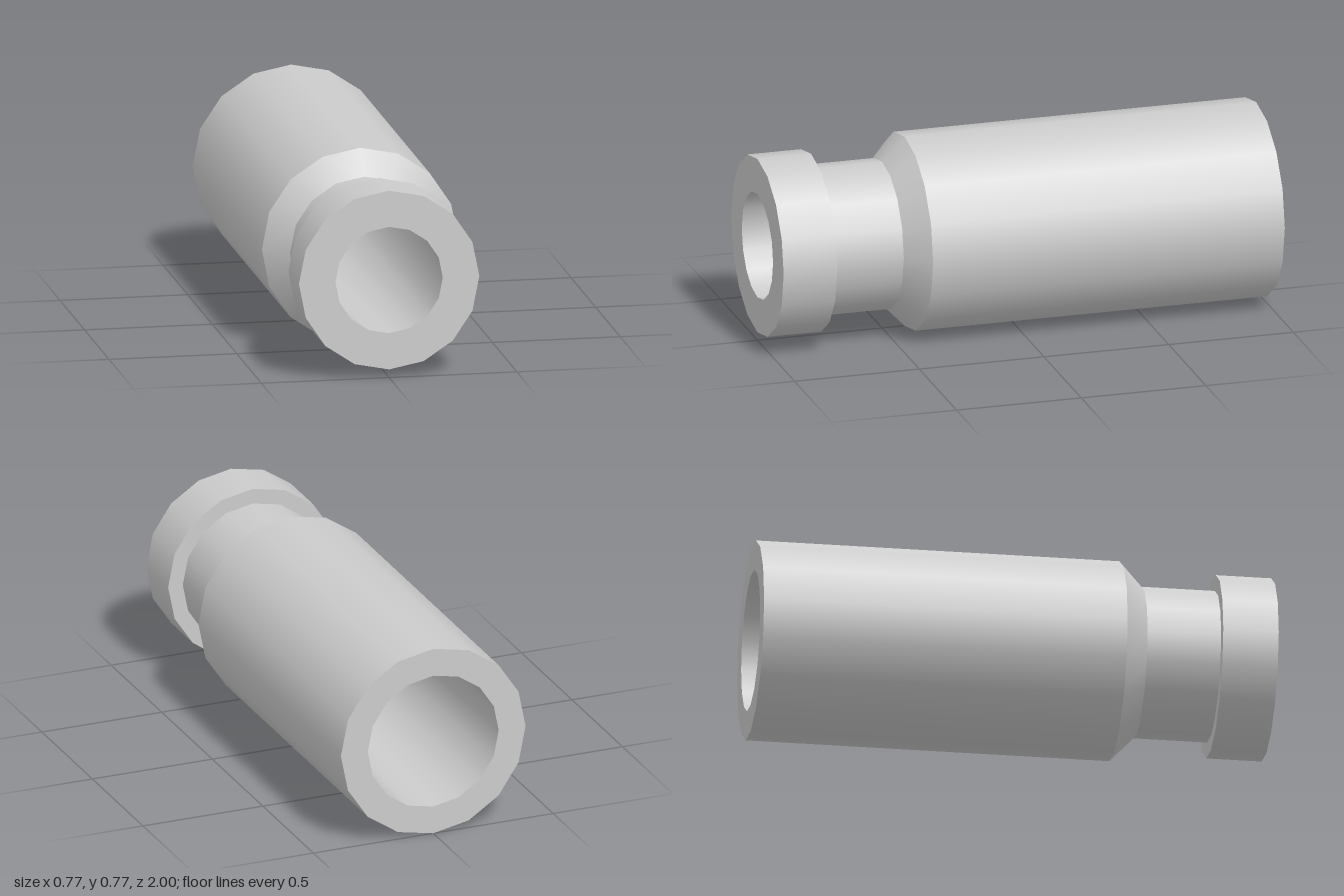
import * as THREE from 'three';

const SIDES = 16;
const AXIS_Y = 0.385;

export function createModel() {
  const group = new THREE.Group();
  group.name = 'hollowTube';
  const grey = new THREE.MeshStandardMaterial({ color: 0xcccccc });
  grey.name = 'light grey';

  // Closed profile [radius, z]: up the outside, over the front lip, back through the bore
  const profile = [
    [0.385, -1], [0.385, 0.41], [0.292, 0.5], [0.292, 0.785],
    [0.353, 0.785], [0.353, 1], [0.21, 1], [0.273, -1],
  ];
  const names = ['body', 'shoulder', 'neck', 'collarBackFace', 'collar', 'collarFrontFace', 'bore', 'rearFace'];

  // One band per profile edge keeps it smooth around and sharp between bands
  names.forEach((name, i) => {
    const ends = [profile[i], profile[(i + 1) % profile.length]];
    const band = new THREE.LatheGeometry(ends.map(([r, z]) => new THREE.Vector2(r, z)), SIDES);
    band.rotateX(Math.PI / 2);
    band.translate(0, AXIS_Y, 0);
    const mesh = new THREE.Mesh(band, grey);
    mesh.name = name;
    group.add(mesh);
  });

  return group;
}
